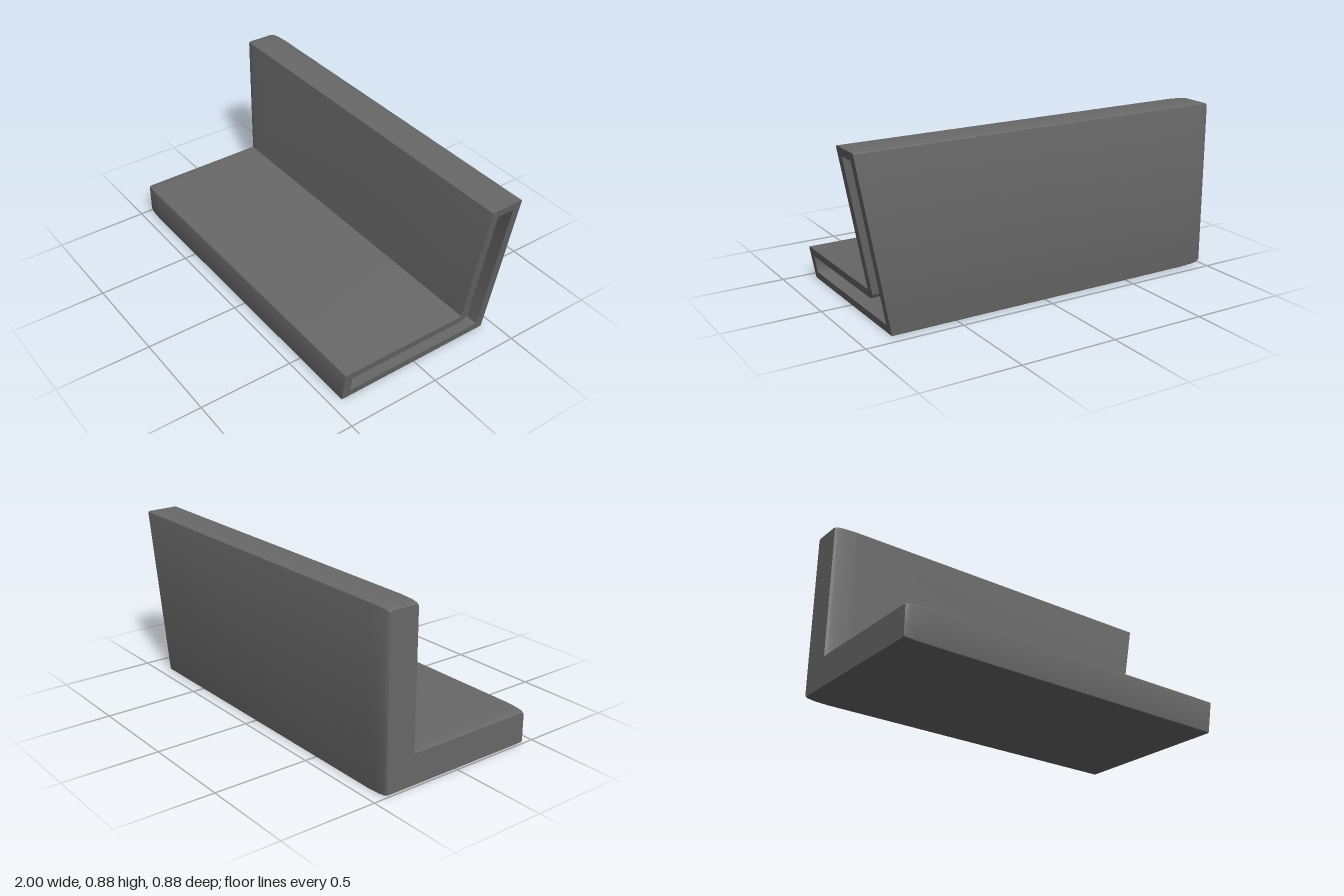
import * as THREE from 'three';
import { toCreasedNormals } from 'three/addons/utils/BufferGeometryUtils.js';

const ARC = 5; // points per rounded corner

// L-shaped outline in (z, y), moved inwards by inset, with rounded corners
function outline(inset, radius, innerRadius) {
  const i = inset;
  const corners = [
    [0.44 - i, i], [0.44 - i, 0.177 - i], [-0.263 - i, 0.177 - i],
    [-0.263 - i, 0.88 - i], [-0.44 + i, 0.88 - i], [-0.44 + i, i],
  ].map(([z, y]) => new THREE.Vector2(z, y));
  const points = [];
  corners.forEach((corner, k) => {
    const r = k === 2 ? innerRadius : radius;
    const before = corners[(k + 5) % 6].clone().sub(corner).normalize();
    const after = corners[(k + 1) % 6].clone().sub(corner).normalize();
    for (let s = 0; s < ARC; s++) {
      const a = (s / (ARC - 1)) * Math.PI / 2;
      points.push(corner.clone()
        .addScaledVector(before, r * (1 - Math.sin(a)))
        .addScaledVector(after, r * (1 - Math.cos(a))));
    }
  });
  return points;
}

// Skin a run of equal-length rings and close the first and last one
function loft(rings) {
  const n = rings[0].points.length;
  const positions = [];
  const index = [];
  for (const { points, x } of rings) {
    for (const p of points) positions.push(x(p.y), p.y, p.x);
  }
  for (let r = 0; r < rings.length - 1; r++) {
    for (let j = 0; j < n; j++) {
      const a = r * n + j, b = r * n + (j + 1) % n;
      index.push(a, a + n, b, b, a + n, b + n);
    }
  }
  for (const [ring, facesRight] of [[0, false], [rings.length - 1, true]]) {
    const pts = rings[ring].points;
    for (const [a, b, c] of THREE.ShapeUtils.triangulateShape(pts, [])) {
      const ccw = pts[b].clone().sub(pts[a]).cross(pts[c].clone().sub(pts[a])) > 0;
      const o = ring * n;
      if (ccw !== facesRight) index.push(o + a, o + b, o + c);
      else index.push(o + a, o + c, o + b);
    }
  }
  const geometry = new THREE.BufferGeometry();
  geometry.setAttribute('position', new THREE.Float32BufferAttribute(positions, 3));
  geometry.setIndex(index);
  // Tight crease keeps the broad faces evenly shaded up to their thin bevels
  return toCreasedNormals(geometry, 0.3);
}

export function createModel() {
  const group = new THREE.Group();
  group.name = 'hollowBench';
  const material = new THREE.MeshStandardMaterial({ color: 0x696969 });

  const at = (x) => () => x;
  const slanted = (y) => 0.84 + 0.1818 * y; // open end leans outwards

  // Closed, softened end -> open slanted end -> back along the inside
  const shell = new THREE.Mesh(loft([
    { points: outline(0.01, 0.012, 0.004), x: at(-1) },
    { points: outline(0.005, 0.01, 0.004), x: at(-0.985) },
    { points: outline(0.002, 0.008, 0.004), x: at(-0.95) },
    { points: outline(0, 0.007, 0.004), x: at(-0.88) },
    { points: outline(0, 0.007, 0.004), x: slanted },
    { points: outline(0.043, 0.002, 0.044), x: slanted },
    { points: outline(0.043, 0.002, 0.044), x: at(-0.957) },
  ]), material);
  shell.name = 'seatAndBackShell';
  group.add(shell);
  return group;
}
